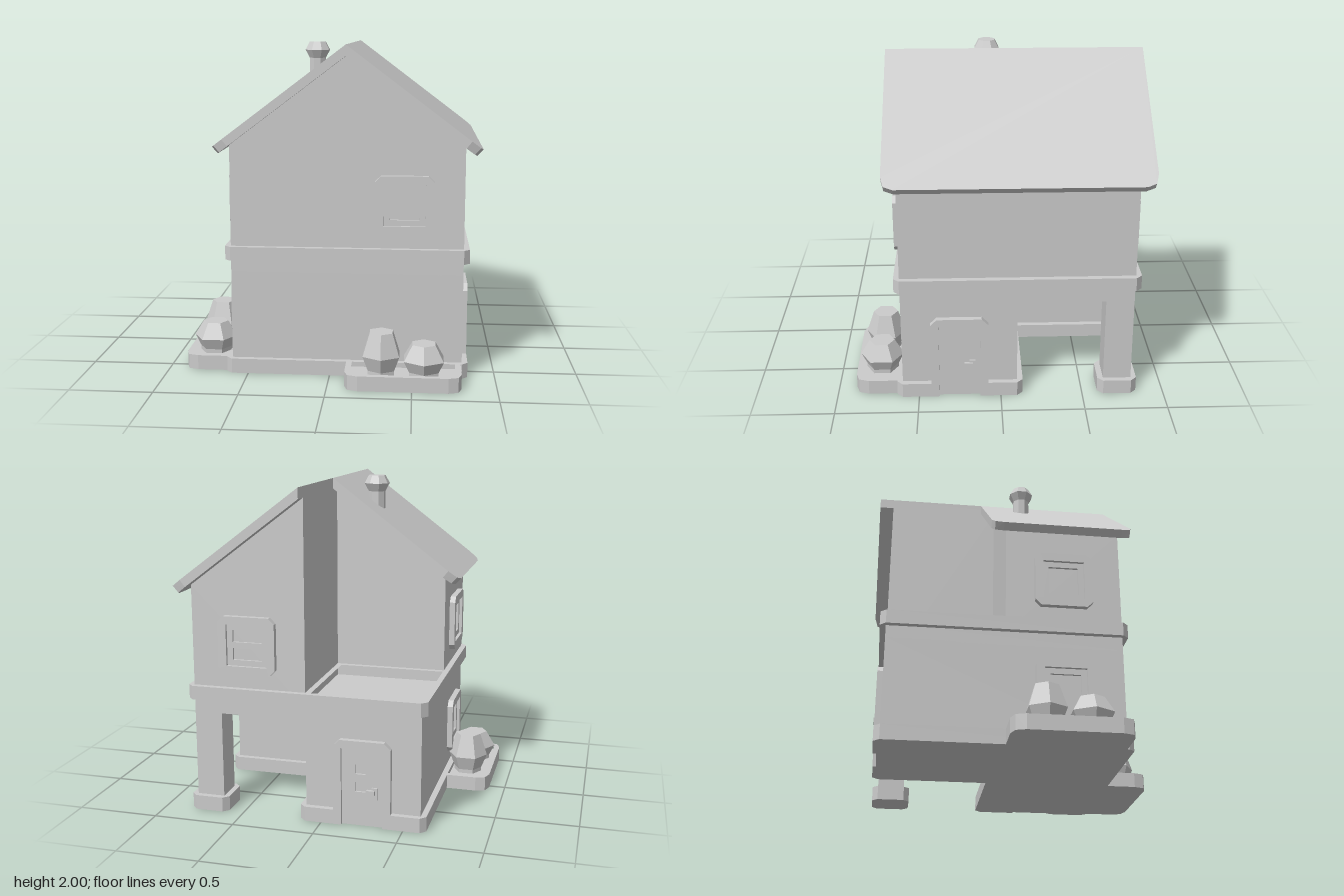
import * as THREE from 'three';

const material = new THREE.MeshStandardMaterial({ color: 0xcccccc, flatShading: true });

function add(parent, name, geometry) {
  const mesh = new THREE.Mesh(geometry, material);
  mesh.name = name;
  parent.add(mesh);
  return mesh;
}

// Outline from [x, y, cut] corners; a corner with a cut is bevelled in the given number of steps
function outline(corners, steps = 1) {
  const out = [];
  corners.forEach(([x, y, cut], i) => {
    const p = new THREE.Vector2(x, y);
    if (!cut) return out.push(p);
    const n = corners.length;
    const toward = (q) => new THREE.Vector2(q[0], q[1]).sub(p).setLength(cut).add(p);
    const a = toward(corners[(i + n - 1) % n]);
    const b = toward(corners[(i + 1) % n]);
    out.push(...new THREE.QuadraticBezierCurve(a, p, b).getPoints(steps));
  });
  return out;
}

const rect = (x0, y0, x1, y1, cut = 0) => [[x0, y0, cut], [x1, y0, cut], [x1, y1, cut], [x0, y1, cut]];

// Slab drawn in the x-y plane, from z0 to z1
function slab(corners, z0, z1, holes = [], steps = 1) {
  const shape = new THREE.Shape(outline(corners, steps));
  shape.holes = holes.map((h) => new THREE.Path(outline(h, steps)));
  return new THREE.ExtrudeGeometry(shape, { depth: z1 - z0, bevelEnabled: false }).translate(0, 0, z0);
}

// Slab drawn in plan with [x, z] corners, from y0 to y1
function prism(corners, y0, y1, holes = [], steps = 1) {
  const flip = (pts) => pts.map(([x, z, c]) => [x, -z, c]);
  return slab(flip(corners), y0, y1, holes.map(flip), steps).rotateX(-Math.PI / 2);
}

// Group on a wall: local +z points out of the wall
function onWall(house, name, x, y, z, angle) {
  const g = new THREE.Group();
  g.name = name;
  g.position.set(x, y, z);
  g.rotation.y = angle;
  house.add(g);
  return g;
}

const lathe = (profile, sides) =>
  new THREE.LatheGeometry(profile.map(([r, y]) => new THREE.Vector2(r, y)), sides);

function buildWindow(g, withBar) {
  const opening = rect(-0.125, -0.125, 0.125, 0.125);
  add(g, 'windowFrame', slab(rect(-0.175, -0.175, 0.175, 0.175, 0.035), -0.01, 0.035, [opening]));
  add(g, 'windowSash', slab(opening, -0.01, 0.016, [rect(-0.09, -0.09, 0.09, 0.09)]));
  if (withBar) add(g, 'windowBar', slab(rect(-0.09, -0.018, 0.09, 0.018), -0.01, 0.016));
}

function buildDoor(g, withPanes) {
  add(g, 'doorFrame', slab([
    [-0.175, 0], [-0.125, 0], [-0.125, 0.48], [0.125, 0.48],
    [0.125, 0], [0.175, 0], [0.175, 0.53, 0.04], [-0.175, 0.53, 0.04],
  ], -0.01, 0.035));
  const panes = withPanes ? [0.24, 0.35].map((y) => rect(-0.045, y - 0.03, 0.02, y + 0.03)) : [];
  add(g, 'doorPanel', slab(rect(-0.125, 0, 0.125, 0.48), -0.01, 0.014, panes));
  add(g, 'handlePlate', slab(rect(0.06, 0.17, 0.095, 0.245), 0, 0.027));
  add(g, 'handleLever', slab(rect(0.03, 0.205, 0.08, 0.232), 0.02, 0.041));
}

function buildPlanter(g) {
  const ring = (w, z, c) => [[-w, 0], [w, 0], [w, z, c], [-w, z, c]];
  add(g, 'planterBox', prism(ring(0.345, 0.29, 0.08), 0, 0.09, [
    [[-0.31, 0.005], [0.31, 0.005], [0.31, 0.255, 0.055], [-0.31, 0.255, 0.055]],
  ], 2));
  add(g, 'planterSoil', prism(ring(0.33, 0.275, 0.08), 0, 0.06, [], 2));
  const tall = add(g, 'tallShrub', lathe([[0, 0.05], [0.09, 0.05], [0.09, 0.085], [0.125, 0.175], [0.078, 0.315], [0, 0.315]], 6));
  tall.position.set(-0.13, 0, 0.128);
  const low = add(g, 'lowShrub', lathe([[0, 0.05], [0.1, 0.05], [0.1, 0.085], [0.135, 0.155], [0.078, 0.25], [0, 0.25]], 6));
  low.position.set(0.123, 0, 0.137);
}

// One roof slope: plan outline dropped along the pitch, underside pulled in for a square eave
function roofSlope(side, zBack) {
  const g = prism([[0, 0.68], [0, zBack], [0.8, zBack, 0.07], [0.8, 0.68, 0.07]], 0, 1, [], 2);
  const p = g.attributes.position;
  for (let i = 0; i < p.count; i++) {
    const top = p.getY(i) > 0.5;
    const u = p.getX(i) * (top ? 1 : 0.956);
    p.setXYZ(i, u, (top ? 1.995 : 1.93) - 0.755 * u, p.getZ(i));
  }
  if (side < 0) g.rotateY(Math.PI).scale(1, 1, -1);
  // restore outward winding after mirroring
  if (side < 0) {
    for (let i = 0; i < p.count; i += 3) {
      const a = new THREE.Vector3().fromBufferAttribute(p, i);
      const b = new THREE.Vector3().fromBufferAttribute(p, i + 1);
      p.setXYZ(i, b.x, b.y, b.z);
      p.setXYZ(i + 1, a.x, a.y, a.z);
    }
  }
  g.computeVertexNormals();
  return g.translate(0.1, 0, 0);
}

export function createModel() {
  const house = new THREE.Group();
  house.name = 'house';
  const c = 0.035;

  // Plinth, notched at both doors
  add(house, 'plinth', prism([
    [-0.635, 0.635, c], [0.835, 0.635, c], [0.835, 0.375], [0.8, 0.375], [0.8, 0.125], [0.835, 0.125],
    [0.835, -0.135, c], [0.135, -0.135], [0.135, -0.835, c], [-0.125, -0.835], [-0.125, -0.8],
    [-0.375, -0.8], [-0.375, -0.835], [-0.635, -0.835, c],
  ], 0, 0.09));

  // Ground floor with the open corner and its post
  add(house, 'groundFloorWalls', prism(
    [[-0.6, 0.6], [0.8, 0.6], [0.8, -0.1], [0.1, -0.1], [0.1, -0.8], [-0.6, -0.8]], 0, 0.63));
  add(house, 'upperFloorSlab', prism(rect(-0.6, -0.8, 0.8, 0.6), 0.62, 0.715));
  add(house, 'post', prism(rect(0.63, -0.8, 0.8, -0.63), 0, 0.63));
  add(house, 'postFoot', prism(rect(0.595, -0.835, 0.835, -0.595, c), 0, 0.09));

  // Band between floors, open over the balcony to leave a low rim
  add(house, 'floorBand', prism(rect(-0.635, -0.835, 0.835, 0.635, c), 0.705, 0.79,
    [rect(-0.6, -0.8, 0.065, -0.135)]));

  // Upper floor: full gable in front, half gable behind beside the balcony
  add(house, 'frontGable', slab(
    [[-0.6, 0.7], [0.8, 0.7], [0.8, 1.403], [0.1, 1.932], [-0.6, 1.403]], -0.1, 0.6));
  add(house, 'rearHalfGable', slab([[0.1, 0.7], [0.8, 0.7], [0.8, 1.403], [0.1, 1.932]], -0.8, -0.1));

  // Roof and chimney
  add(house, 'longRoofSlope', roofSlope(1, -0.89));
  add(house, 'shortRoofSlope', roofSlope(-1, -0.19));
  const chimney = add(house, 'chimney', lathe(
    [[0, 1.7], [0.054, 1.7], [0.054, 1.9], [0.081, 1.95], [0.054, 2], [0, 2]], 8).rotateY(Math.PI / 8));
  chimney.position.set(-0.12, 0, 0.06);

  // Windows, doors and planters
  buildWindow(onWall(house, 'frontWindow', 0.445, 1.055, 0.6, 0));
  buildWindow(onWall(house, 'backWindow', 0.45, 1.055, -0.8, Math.PI), true);
  buildWindow(onWall(house, 'upperSideWindow', -0.6, 1.055, 0.25, -Math.PI / 2));
  buildWindow(onWall(house, 'lowerSideWindow', -0.6, 0.355, 0.25, -Math.PI / 2));
  buildDoor(onWall(house, 'sideDoor', 0.8, 0, 0.25, Math.PI / 2));
  buildDoor(onWall(house, 'backDoor', -0.25, 0, -0.8, Math.PI), true);
  buildPlanter(onWall(house, 'frontPlanter', 0.447, 0, 0.6, 0));
  buildPlanter(onWall(house, 'sidePlanter', -0.61, 0, 0.243, -Math.PI / 2));

  return house;
}
